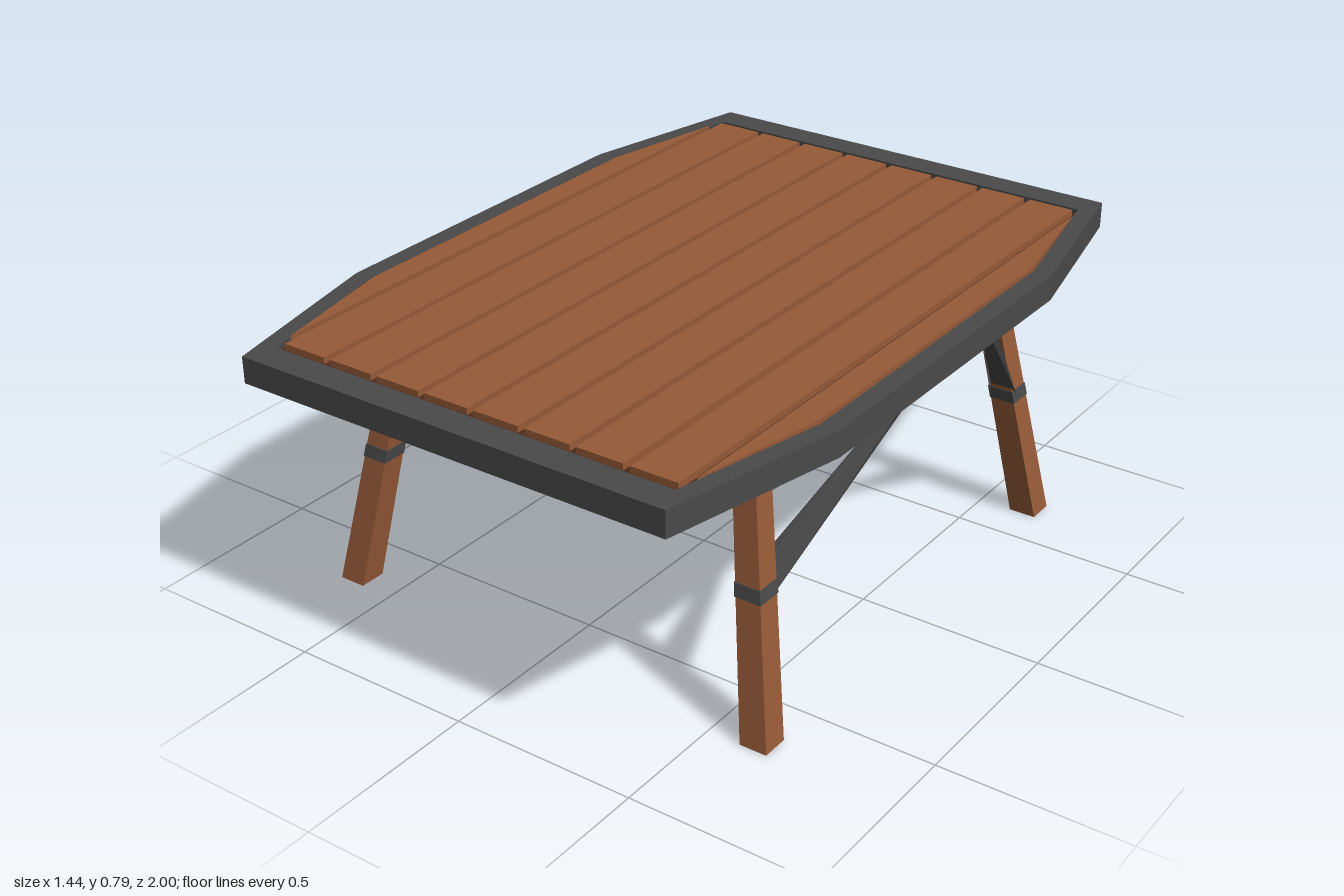
import * as THREE from 'three';

const material = (color) => new THREE.MeshStandardMaterial({ color, flatShading: true });

// Outline mirrored into all four quadrants: end corner (xe, ze), side corner (xs, zs)
const octagon = (xe, ze, xs, zs) => [
  [xe, -ze], [xs, -zs], [xs, zs], [xe, ze], [-xe, ze], [-xs, zs], [-xs, -zs], [-xe, -ze],
].map(([x, z]) => new THREE.Vector2(x, z));

// Flat outline raised from y0 to y1
function slab(points, y0, y1, hole) {
  const shape = new THREE.Shape(points);
  if (hole) shape.holes.push(new THREE.Path(hole));
  return new THREE.ExtrudeGeometry(shape, { depth: y1 - y0, bevelEnabled: false })
    .rotateX(-Math.PI / 2).translate(0, y0, 0);
}

// Box whose corners are placed by a rule: place(sx, top, sz) gives [x, y, z]
function placedBox(place) {
  const geometry = new THREE.BoxGeometry(2, 2, 2);
  const p = geometry.attributes.position;
  for (let i = 0; i < p.count; i++) p.setXYZ(i, ...place(p.getX(i), p.getY(i) > 0, p.getZ(i)));
  geometry.computeVertexNormals();
  return geometry;
}

// Piece of the splayed, tapering leg between two heights, widened by pad
const legPiece = (y0, y1, pad, mx, mz) => placedBox((sx, top, sz) => {
  const y = top ? y1 : y0;
  const half = 0.037 - 0.008 * y + pad;
  return [mx * (0.628 - 0.162 * y) + sx * half, y, mz * (0.657 - 0.157 * y) + sz * half];
});

// Flat brace, wide at the leg and narrow under the rim
const bracePiece = (mx, mz) => placedBox((sx, top, sz) => {
  const x = top ? 0.7 + 0.014 * mx * sx : 0.567 + 0.036 * mx * sx;
  const outer = mz * sz > 0;
  const y = top ? 0.72 : (outer ? 0.355 : 0.388);
  const z = top ? (outer ? 0.23 : 0.2) : 0.575;
  // the lower end stands upright against the leg, the upper end lies under the rim
  return [mx * x, top ? y : (outer ? 0.357 : 0.387), mz * z];
});

export function createModel() {
  const group = new THREE.Group();
  const metal = material(0x4a4a4a);
  const wood = material(0x965a38);
  const darkWood = material(0x482a1c);
  const add = (name, geometry, mat, parent = group) => {
    const mesh = new THREE.Mesh(geometry, mat);
    mesh.name = name;
    parent.add(mesh);
  };

  // Table top: metal rim, dark base panel and planks
  add('rim', slab(octagon(0.61, 1, 0.718, 0.5), 0.713, 0.783, octagon(0.578, 0.92, 0.668, 0.5)), metal);
  add('basePanel', slab(octagon(0.58, 0.922, 0.67, 0.5), 0.723, 0.77), darkWood);

  const planks = new THREE.Group();
  planks.name = 'planks';
  group.add(planks);
  const pitch = 0.145;
  for (let i = 0; i < 8; i++) {
    add('plank', new THREE.BoxGeometry(pitch - 0.018, 0.032, 1.8)
      .translate((i - 3.5) * pitch, 0.771, 0), wood, planks);
  }
  for (const s of [-1, 1]) {
    const outline = [[0.59, -0.86], [0.66, -0.5], [0.66, 0.5], [0.59, 0.86]];
    add('sidePlank', slab(outline.map(([x, z]) => new THREE.Vector2(s * x, z)), 0.755, 0.787), wood, planks);
  }

  // Four splayed legs, each with a metal band and a brace
  for (const mx of [-1, 1]) {
    for (const mz of [-1, 1]) {
      const legGroup = new THREE.Group();
      legGroup.name = (mz > 0 ? 'front' : 'back') + (mx > 0 ? 'Left' : 'Right') + 'Leg';
      group.add(legGroup);
      add('leg', legPiece(0, 0.735, 0, mx, mz), wood, legGroup);
      add('band', legPiece(0.355, 0.39, 0.002, mx, mz), metal, legGroup);
      add('brace', bracePiece(mx, mz), metal, legGroup);
    }
  }
  return group;
}
